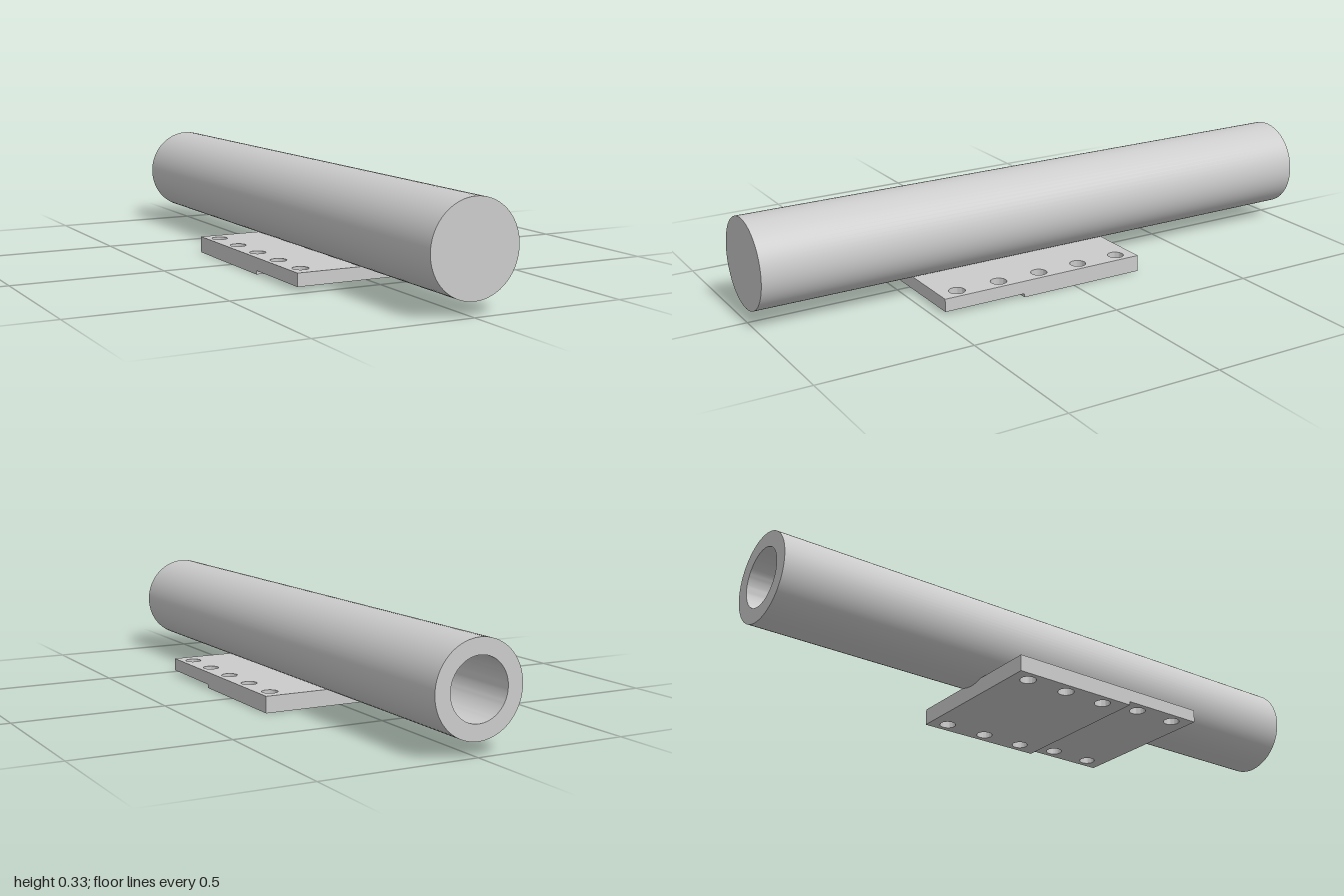
import * as THREE from 'three';
import { toCreasedNormals } from 'three/addons/utils/BufferGeometryUtils.js';

const HALF_WIDTH = 0.265, TOP = 0.054;
const HOLE_X = 0.222, HOLE_R = 0.026;

export function createModel() {
  const group = new THREE.Group();
  const material = new THREE.MeshStandardMaterial({ color: 0xcccccc });

  const add = (name, geometry) => {
    const mesh = new THREE.Mesh(toCreasedNormals(geometry, 0.6), material);
    mesh.name = name;
    group.add(mesh);
    return mesh;
  };

  // Tube: closed at the front, with a deep bore open at the back
  const profile = [[0, 0.9], [0.095, 0.9], [0.095, -1], [0.1445, -1], [0.1445, 1], [0, 1]]
    .map(([r, y]) => new THREE.Vector2(r, y));
  const tube = add('tube', new THREE.LatheGeometry(profile, 72).rotateX(Math.PI / 2));
  tube.position.y = 0.1895;

  // Mounting plate section from z0 to z1, drilled with pairs of bolt holes
  const plate = (name, z0, z1, bottom, holeZs) => {
    const shape = new THREE.Shape([
      new THREE.Vector2(-HALF_WIDTH, -z1), new THREE.Vector2(HALF_WIDTH, -z1),
      new THREE.Vector2(HALF_WIDTH, -z0), new THREE.Vector2(-HALF_WIDTH, -z0),
    ]);
    for (const z of holeZs) {
      for (const side of [-1, 1]) {
        shape.holes.push(new THREE.Path().absarc(side * HOLE_X, -z, HOLE_R, 0, Math.PI * 2, true));
      }
    }
    const geometry = new THREE.ExtrudeGeometry(shape, {
      depth: TOP - bottom, bevelEnabled: false, curveSegments: 32,
    });
    add(name, geometry.rotateX(-Math.PI / 2)).position.y = bottom;
  };

  // The rear section is thicker, leaving a step underneath
  plate('rearMountingPlate', -0.247, 0.187, 0, [-0.188, -0.04, 0.108]);
  plate('frontMountingPlate', 0.187, 0.468, 0.012, [0.256, 0.404]);

  return group;
}
